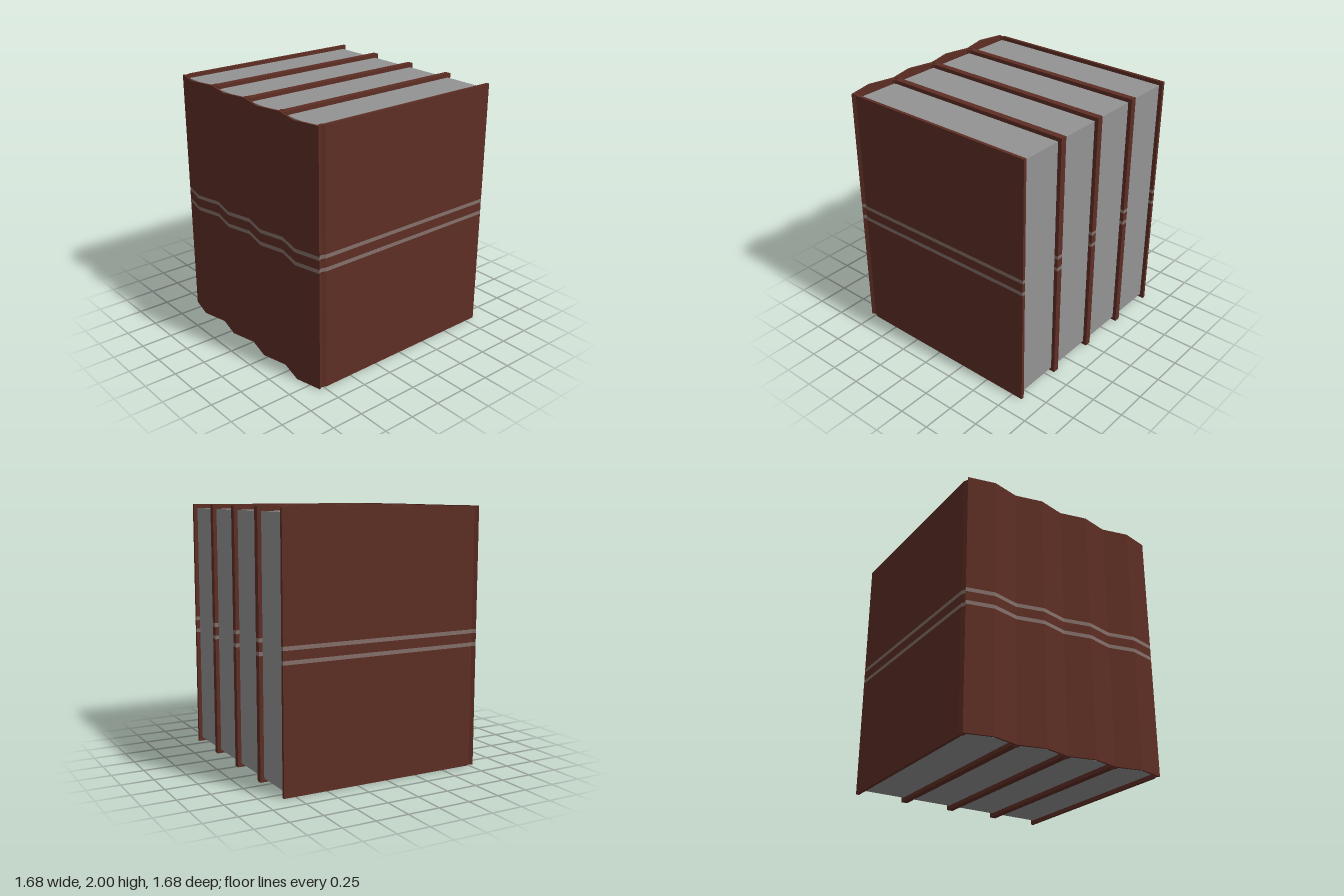
import * as THREE from 'three';

const BOOKS = 4;
const PITCH = 0.42;                                // width of one book
const LEVELS = [0, 0.94, 0.97, 1.04, 1.07, 2];     // heights where the cover changes colour

function material(name, color) {
  const m = new THREE.MeshStandardMaterial({ color });
  m.name = name;
  return m;
}

// Bent cover seen from above: two boards, pinched joints and a ridged spine
function coverGeometry() {
  const w = PITCH / 2;
  const outer = [[w, -0.84], [w, 0.73], [w - 0.015, 0.76], [w, 0.79], [0, 0.838]];
  const inner = [[0, 0.824], [w - 0.022, 0.777], [w - 0.038, 0.76], [w - 0.025, 0.73], [w - 0.025, -0.84]];
  const mirror = (pts) => pts.slice().reverse().map(([x, z]) => [-x, z]);
  const outline = [
    ...outer, ...mirror(outer).slice(1),
    ...mirror(inner), ...inner.slice(1),
  ];
  const shape = new THREE.Shape(outline.map(([x, z]) => new THREE.Vector2(x, -z)));
  const bands = LEVELS.length - 1;
  const geo = new THREE.ExtrudeGeometry(shape, { depth: bands, steps: bands, bevelEnabled: false });

  // Move each extrusion step to its height
  const pos = geo.attributes.position;
  for (let i = 0; i < pos.count; i++) pos.setZ(i, LEVELS[Math.round(pos.getZ(i))]);
  geo.rotateX(-Math.PI / 2);

  // Walls are quads stacked band by band: every odd band is a stripe
  const caps = geo.groups[0].count;
  geo.clearGroups();
  geo.addGroup(0, caps, 0);
  for (let q = 0; caps + q * 6 < pos.count; q++) {
    geo.addGroup(caps + q * 6, 6, (q % bands) % 2);
  }
  return geo;
}

export function createModel() {
  const model = new THREE.Group();
  model.name = 'bookRow';
  const leather = material('brown leather', 0x5e2e24);
  const stripe = material('pale stripe', 0x84706a);
  const paper = material('grey paper', 0x939393);

  const coverGeo = coverGeometry();
  const pagesGeo = new THREE.BoxGeometry(PITCH - 0.05, 1.94, 1.56);

  for (let i = 0; i < BOOKS; i++) {
    const book = new THREE.Group();
    book.name = `book${i + 1}`;
    book.position.x = (i - (BOOKS - 1) / 2) * PITCH;

    const cover = new THREE.Mesh(coverGeo, [leather, stripe]);
    cover.name = 'cover';

    // Page block, set back from the cover edges
    const pages = new THREE.Mesh(pagesGeo, paper);
    pages.name = 'pages';
    pages.position.set(0, 1, -0.03);

    book.add(cover, pages);
    model.add(book);
  }
  return model;
}
